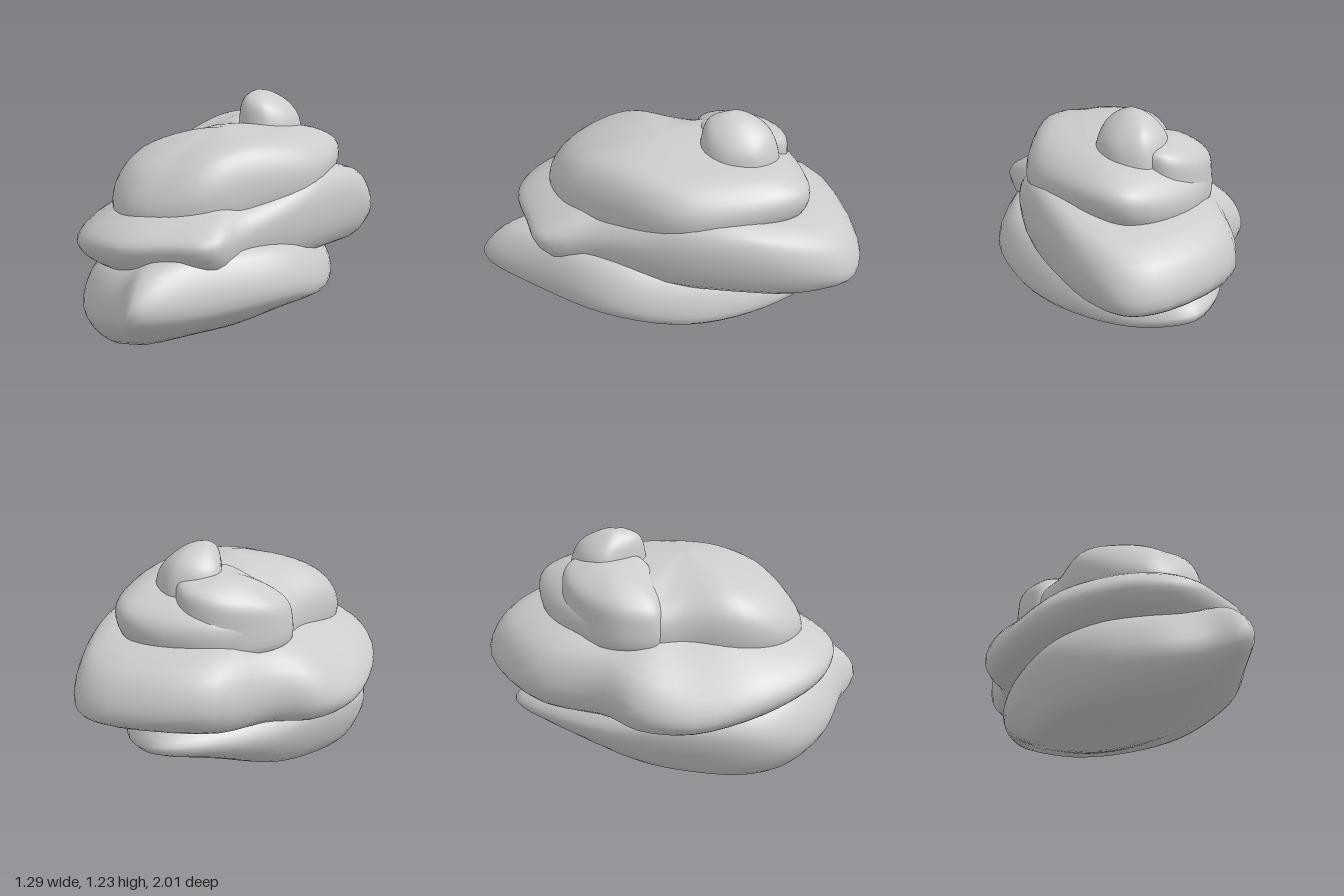
import * as THREE from 'three';
import { mergeVertices } from 'three/addons/utils/BufferGeometryUtils.js';

const AROUND = 64, UP = 28;
const v = (x, y, z) => new THREE.Vector3(x, y, z);

// Point part of the way out from a cap's centre, kept low so the cap is gently domed
function capPoint(centre, edge) {
  const p = centre.clone().lerp(edge, 0.45);
  p.y = centre.y + (edge.y - centre.y) * 0.23;
  return p;
}

// A soft slab: each row is [x, z, underside y, rim y, shoulder y] around the rim,
// from the front by +x to the back and round again.
function softSlab(name, rows, low, high, insetLow, insetHigh) {
  const ring = (yIndex, inset, c) => new THREE.CatmullRomCurve3(rows.map((r) =>
    v(c.x + (r[0] - c.x) * inset, r[yIndex], c.z + (r[1] - c.z) * inset)), true);
  const rings = [ring(2, insetLow, low), ring(3, 1, low), ring(4, insetHigh, high)];
  const pos = [], index = [];
  for (let i = 0; i < AROUND; i++) {
    const [b, m, t] = rings.map((c) => c.getPoint(i / AROUND));
    const rib = new THREE.CatmullRomCurve3([low, capPoint(low, b), b, m, t, capPoint(high, t), high]);
    for (let j = 0; j <= UP; j++) pos.push(...rib.getPoint(j / UP).toArray());
  }
  for (let i = 0; i < AROUND; i++) {
    for (let j = 0; j < UP; j++) {
      const a = i * (UP + 1) + j, b = ((i + 1) % AROUND) * (UP + 1) + j;
      if (j > 0) index.push(a, b, b + 1);
      if (j < UP - 1) index.push(a, b + 1, a + 1);
    }
  }
  let geo = new THREE.BufferGeometry();
  geo.setAttribute('position', new THREE.Float32BufferAttribute(pos, 3));
  geo.setIndex(index);
  geo = mergeVertices(geo, 1e-5);
  geo.computeVertexNormals();
  const mesh = new THREE.Mesh(geo, new THREE.MeshStandardMaterial({ color: 0xcccccc }));
  mesh.name = name;
  return mesh;
}

export function createModel() {
  const group = new THREE.Group();
  group.name = 'swirledMound';

  // Bottom coil: a tilted bowl with a pointed front and a back drawn out to one side
  group.add(softSlab('bottomCoil', [
    [-0.14, 0.83, 0.05, 0.22, 0.45],
    [0.12, 0.92, 0.10, 0.27, 0.48],
    [0.29, 1.00, 0.15, 0.33, 0.51],
    [0.46, 0.66, 0.17, 0.31, 0.56],
    [0.64, 0.21, 0.20, 0.34, 0.55],
    [0.57, -0.18, 0.19, 0.27, 0.50],
    [0.38, -0.52, 0.18, 0.26, 0.46],
    [0.14, -0.76, 0.19, 0.28, 0.42],
    [-0.09, -0.85, 0.21, 0.32, 0.42],
    [-0.25, -0.71, 0.18, 0.32, 0.42],
    [-0.43, -0.35, 0.10, 0.30, 0.42],
    [-0.50, 0.05, 0.06, 0.32, 0.42],
    [-0.49, 0.41, 0.04, 0.28, 0.43],
    [-0.36, 0.66, 0.03, 0.21, 0.44],
  ], v(-0.08, 0.02, 0.25), v(0, 0.6, 0), 0.76, 0.87));

  // Middle coil: the widest layer, overhanging at the back and at one side
  group.add(softSlab('middleCoil', [
    [0.08, 0.85, 0.48, 0.60, 0.69],
    [0.30, 0.74, 0.49, 0.62, 0.70],
    [0.48, 0.62, 0.49, 0.62, 0.70],
    [0.48, 0.38, 0.47, 0.63, 0.73],
    [0.55, 0.08, 0.47, 0.70, 0.80],
    [0.58, -0.18, 0.48, 0.74, 0.86],
    [0.55, -0.50, 0.47, 0.71, 0.85],
    [0.45, -0.80, 0.43, 0.59, 0.78],
    [0.31, -0.98, 0.42, 0.50, 0.72],
    [0.10, -1.00, 0.42, 0.50, 0.71],
    [-0.34, -0.75, 0.41, 0.53, 0.72],
    [-0.46, -0.38, 0.39, 0.52, 0.70],
    [-0.61, -0.17, 0.37, 0.47, 0.64],
    [-0.64, 0.12, 0.37, 0.44, 0.58],
    [-0.53, 0.48, 0.42, 0.51, 0.63],
    [-0.30, 0.75, 0.46, 0.56, 0.66],
    [-0.10, 0.84, 0.47, 0.59, 0.68],
  ], v(0, 0.38, 0), v(0.05, 0.9, -0.05), 0.9, 0.9));

  // Top coil: a thick cap, sloping down to the front
  group.add(softSlab('topCoil', [
    [0.10, 0.66, 0.66, 0.75, 0.93],
    [0.30, 0.52, 0.67, 0.82, 0.99],
    [0.43, 0.26, 0.70, 0.90, 1.04],
    [0.54, -0.12, 0.77, 0.92, 1.03],
    [0.46, -0.42, 0.80, 0.93, 1.03],
    [0.32, -0.65, 0.80, 0.94, 1.03],
    [0.20, -0.72, 0.78, 0.93, 1.02],
    [0.00, -0.68, 0.74, 0.89, 1.01],
    [-0.22, -0.54, 0.71, 0.88, 0.99],
    [-0.37, -0.28, 0.70, 0.88, 0.97],
    [-0.35, -0.08, 0.70, 0.86, 0.96],
    [-0.32, 0.06, 0.69, 0.87, 0.98],
    [-0.33, 0.34, 0.68, 0.87, 0.99],
    [-0.24, 0.55, 0.66, 0.79, 0.95],
    [-0.06, 0.67, 0.66, 0.75, 0.93],
  ], v(0.08, 0.66, 0), v(0.08, 1.1, 0.06), 0.95, 0.82));

  // Ridge that winds down from the knob
  group.add(softSlab('knobTail', [
    [0.00, -0.15, 0.88, 1.01, 1.10],
    [0.10, -0.40, 0.88, 1.03, 1.11],
    [-0.02, -0.57, 0.84, 0.98, 1.07],
    [-0.21, -0.53, 0.74, 0.90, 1.02],
    [-0.39, -0.27, 0.74, 0.88, 0.97],
    [-0.36, -0.07, 0.74, 0.87, 0.96],
    [-0.18, -0.07, 0.82, 0.95, 1.02],
  ], v(-0.14, 0.75, -0.33), v(-0.09, 1.12, -0.36), 0.96, 0.92));

  // Small knob on the summit
  group.add(softSlab('knob', [
    [0.05, -0.15, 0.98, 1.08, 1.20],
    [0.17, -0.18, 0.98, 1.09, 1.18],
    [0.235, -0.31, 0.98, 1.09, 1.16],
    [0.20, -0.46, 0.98, 1.09, 1.16],
    [0.07, -0.54, 0.98, 1.07, 1.17],
    [-0.05, -0.48, 0.98, 1.10, 1.17],
    [-0.11, -0.37, 0.98, 1.11, 1.17],
    [-0.05, -0.25, 0.98, 1.09, 1.19],
  ], v(0.06, 0.95, -0.36), v(0.04, 1.25, -0.3), 1.02, 0.8));

  return group;
}
